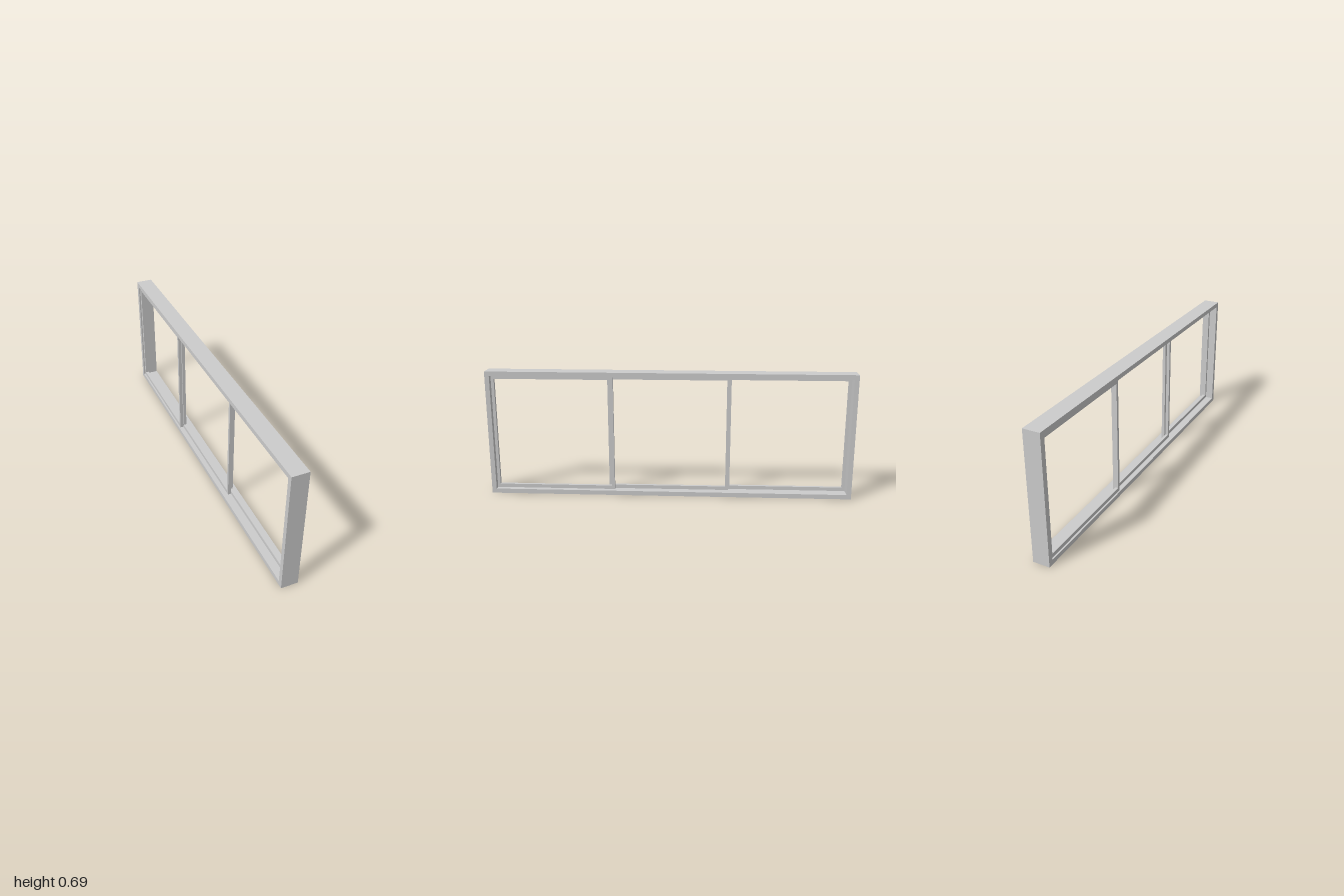
import * as THREE from 'three';

const material = new THREE.MeshStandardMaterial({ color: 0xcccccc, flatShading: true });

// Rectangular frame in the z-y plane, extruded along x from x0 to x1
function rectFrame(name, x0, x1, z0, z1, y0, y1, stile, rail) {
  const rect = (path, a, b, c, d) =>
    path.moveTo(a, c).lineTo(b, c).lineTo(b, d).lineTo(a, d).closePath();
  // shape x stands for -z once the extrusion is turned to run along +x
  const shape = rect(new THREE.Shape(), -z1, -z0, y0, y1);
  shape.holes.push(rect(new THREE.Path(), -z1 + stile, -z0 - stile, y0 + rail, y1 - rail));
  const geometry = new THREE.ExtrudeGeometry(shape, { depth: x1 - x0, bevelEnabled: false });
  geometry.rotateY(Math.PI / 2);
  geometry.translate(x0, 0, 0);
  const mesh = new THREE.Mesh(geometry, material);
  mesh.name = name;
  return mesh;
}

export function createModel() {
  const group = new THREE.Group();
  group.name = 'slidingWindowFrame';
  const height = 0.693, rim = 0.025;

  // Outer casing
  group.add(rectFrame('outerFrame', -0.045, 0.045, -1, 1, 0, height, rim, rim));

  // Three sashes on stepped tracks, each overlapping its neighbour: [name, x0, x1, z0, z1]
  const sashes = [
    ['frontSash', -0.001, 0.0165, 0.308, 1 - rim],
    ['middleSash', -0.0185, -0.001, -0.326, 0.34],
    ['rearSash', -0.036, -0.0185, -1 + rim, -0.318],
  ];
  for (const [name, x0, x1, z0, z1] of sashes) {
    group.add(rectFrame(name, x0, x1, z0, z1, rim, height - rim, 0.016, 0.02));
  }
  return group;
}
